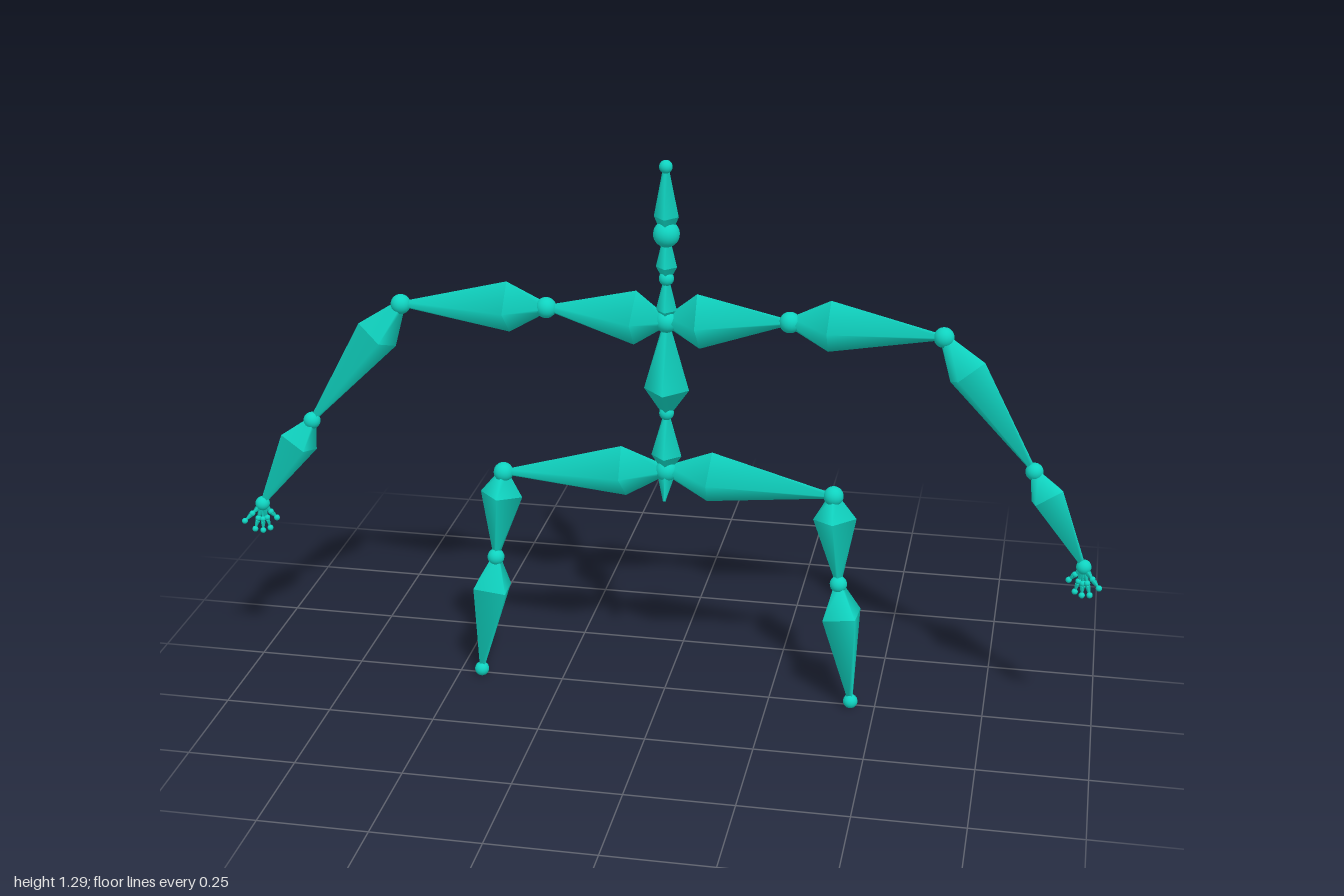
import * as THREE from 'three';
import { mergeGeometries } from 'three/addons/utils/BufferGeometryUtils.js';

const teal = new THREE.MeshStandardMaterial({ color: 0x0fd3c0 });
teal.name = 'teal';
const UP = new THREE.Vector3(0, 1, 0);

export function createModel() {
  const model = new THREE.Group();
  model.name = 'skeletonRig';

  // ball joint at a point
  function joint(name, p, r) {
    const mesh = new THREE.Mesh(new THREE.SphereGeometry(r, 20, 14), teal);
    mesh.name = name;
    mesh.position.set(...p);
    model.add(mesh);
  }

  // four-sided tapered bone from a to b, widest a quarter of the way along
  function bone(name, a, b, r, tip = 0.006) {
    const start = new THREE.Vector3(...a);
    const dir = new THREE.Vector3(...b).sub(start);
    const len = dir.length();
    const belt = len * 0.26;
    const short = new THREE.CylinderGeometry(r, Math.min(0.012, r * 0.4), belt, 4, 1);
    short.translate(0, belt / 2, 0);
    const long = new THREE.CylinderGeometry(Math.min(tip, r * 0.3), r, len - belt, 4, 1);
    long.translate(0, (len + belt) / 2, 0);
    const mesh = new THREE.Mesh(mergeGeometries([short, long]), teal);
    mesh.name = name;
    mesh.position.copy(start);
    mesh.quaternion.setFromUnitVectors(UP, dir.normalize());
    model.add(mesh);
  }

  // spine, neck and head
  const pelvis = [0, 0.555, -0.02], waist = [0, 0.696, -0.022], chest = [0, 0.917, -0.02];
  const neck = [0, 1.018, -0.02], head = [0, 1.121, -0.02], crown = [0, 1.276, -0.013];
  joint('pelvisJoint', pelvis, 0.026);
  joint('waistJoint', waist, 0.017);
  joint('chestJoint', chest, 0.026);
  joint('neckJoint', neck, 0.017);
  joint('headJoint', head, 0.03);
  joint('crownJoint', crown, 0.015);
  bone('lowerSpine', pelvis, waist, 0.035);
  bone('upperSpine', waist, chest, 0.052);
  bone('lowerNeck', chest, neck, 0.024);
  bone('upperNeck', neck, head, 0.024);
  bone('headBone', head, crown, 0.028);
  bone('tailBone', pelvis, [0, 0.488, 0.008], 0.018, 0.003);

  // limbs, mirrored across x
  for (const [side, s] of [['left', 1], ['right', -1]]) {
    const at = (x, y, z) => [s * x, y, z];
    const limb = (name, from, to, r, ball) => {
      bone(side + name, from, to, r);
      joint(side + name + 'Joint', to, ball);
      return to;
    };

    // arm
    const collar = limb('Collar', chest, at(0.278, 0.93, -0.026), 0.064, 0.024);
    const shoulder = limb('Shoulder', collar, at(0.62, 0.917, -0.026), 0.06, 0.023);
    const elbow = limb('UpperArm', shoulder, at(0.835, 0.631, 0.015), 0.052, 0.02);
    const wrist = limb('Forearm', elbow, at(0.957, 0.425, 0.05), 0.048, 0.017);

    // fingers, fanned from the wrist
    const tips = [[0.993, 0.389, 0.079], [0.974, 0.364, 0.065], [0.957, 0.359, 0.058],
      [0.941, 0.364, 0.052], [0.926, 0.388, 0.044]];
    tips.forEach((t, i) => {
      const tip = at(...t);
      const mid = tip.map((v, k) => wrist[k] + (v - wrist[k]) * 0.58);
      const n = 'Finger' + (i + 1);
      limb(n + 'Base', wrist, mid, 0.009, 0.007);
      limb(n + 'Tip', mid, tip, 0.006, 0.007);
    });

    // leg
    const hip = limb('Hip', pelvis, at(0.387, 0.52, -0.022), 0.061, 0.023);
    const knee = limb('Thigh', hip, at(0.406, 0.309, -0.003), 0.05, 0.02);
    limb('Shin', knee, at(0.444, 0.018, 0.014), 0.054, 0.017);
  }
  return model;
}
